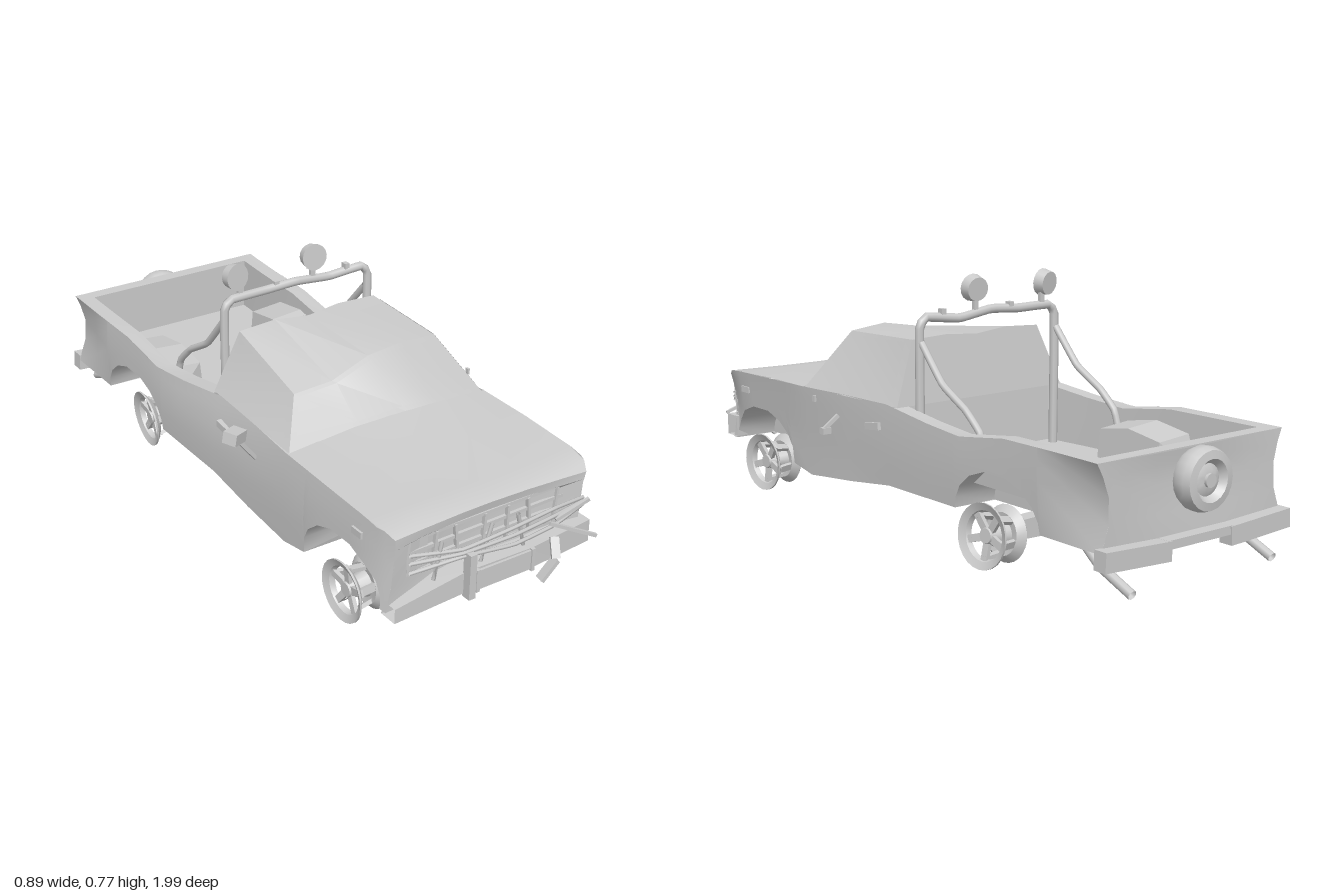
import * as THREE from 'three';
import { toCreasedNormals } from 'three/addons/utils/BufferGeometryUtils.js';

const mat = new THREE.MeshStandardMaterial({ color: 0xcccccc, side: THREE.DoubleSide });
const V = (p) => new THREE.Vector3(...p);

// linear interpolation in a [z, value] table sorted by falling z
function at(table, z) {
  for (let i = 1; i < table.length; i++) {
    const [a, va] = table[i - 1], [b, vb] = table[i];
    if (z >= b) return va + (vb - va) * Math.max(0, (a - z) / (a - b));
  }
  return table[table.length - 1][1];
}
const FRONT = 0.9, REAR = -0.935;
const TOP = [[0.92, 0.355], [0.87, 0.385], [0.8, 0.393], [0.4, 0.4], [0, 0.4], [-0.2, 0.375], [-0.35, 0.362], [-0.55, 0.39], [REAR, 0.393]];
const LEFT_TOP = [[0.92, 0.355], [0.85, 0.378], [0.4, 0.383], [0.2, 0.36], [0, 0.35], [-0.4, 0.35], [-0.8, 0.36], [REAR, 0.372]];
const LEFT_LOW = [[0.92, 0.345], [0.4, 0.355], [0.2, 0.34], [REAR, 0.35]];
const RIGHT_TOP = [[0.92, -0.305], [0.85, -0.333], [0.4, -0.33], [0.2, -0.315], [0, -0.305], [-0.4, -0.335], [REAR, -0.34]];
const DENT = [[0.9, 0.025], [0.8, 0], [-0.7, 0], [REAR, 0.04]];
const SILL = [[0.51, 0.13], [0.4, 0.11], [0.2, 0.125], [0, 0.15], [REAR, 0.15]];
const ARCHES = [0.69, -0.51];
const U = [1, 0.97, 0.85, 0.6, 0.25, -0.25, -0.6, -0.85, -0.97, -1];
const AR = 0.185, AH = 0.135;

function bottom(z) {
  for (const c of ARCHES) {
    const u = Math.min(1, Math.abs((z - c) / AR));
    if (u < 0.999) return 0.15 + AH * Math.sqrt(1 - u * u);
  }
  return z > 0.52 ? 0.15 : at(SILL, z);
}
const top = (z) => at(TOP, z);
function sideX(s, z, y) {
  const f = Math.min(1, Math.max(0, (y - 0.15) / 0.25));
  const a = s > 0 ? at(LEFT_LOW, z) : -0.338, b = at(s > 0 ? LEFT_TOP : RIGHT_TOP, z);
  return a + (b - a) * f * f + s * (0.006 - at(DENT, z)) * Math.sin(f * Math.PI);
}

export function createModel() {
  const model = new THREE.Group();
  const add = (name, geo, pos = [0, 0, 0], rot = [0, 0, 0], parent = model) => {
    const m = new THREE.Mesh(geo, mat);
    m.name = name;
    m.position.set(...pos);
    m.rotation.set(...rot);
    parent.add(m);
    return m;
  };
  const box = (name, size, pos, rot, parent) => add(name, new THREE.BoxGeometry(...size), pos, rot, parent);
  const tube = (name, pts, r, sides = 8, n = 24) =>
    add(name, new THREE.TubeGeometry(new THREE.CatmullRomCurve3(pts.map(V), false, 'catmullrom', 0.15), n, r, sides));
  // square-ended straight bar between two points
  const bar = (name, a, b, w, d = w) => {
    const A = V(a), B = V(b), m = box(name, [w, d, A.distanceTo(B)], A.clone().lerp(B, 0.5).toArray());
    m.lookAt(B);
  };
  // sheet through equal-length rows of points
  const sheet = (name, rows, crease = 0.5) => {
    const n = rows[0].length, idx = [];
    for (let i = 0; i < rows.length - 1; i++) for (let j = 0; j < n - 1; j++) {
      const a = i * n + j;
      idx.push(a, a + n, a + 1, a + 1, a + n, a + n + 1);
    }
    const g = new THREE.BufferGeometry();
    g.setAttribute('position', new THREE.Float32BufferAttribute(rows.flat(2), 3));
    g.setIndex(idx);
    return add(name, toCreasedNormals(g, crease));
  };
  const lathe = (pts, n) => toCreasedNormals(new THREE.LatheGeometry(pts.map((p) => new THREE.Vector2(...p)), n), 0.6);

  // body sides with wheel arches
  const archZ = ARCHES.map((c) => U.map((u) => c + u * AR));
  const stations = [FRONT, ...archZ[0], 0.4, 0.2, 0, -0.2, ...archZ[1], -0.8, REAR];
  for (const s of [1, -1]) {
    sheet('bodySide', stations.map((z) => [0, 0.3, 0.6, 0.85, 1].map((f) => {
      const y = bottom(z) + (top(z) - bottom(z)) * f;
      return [sideX(s, z, y), y, z];
    })));
    for (const zs of archZ) sheet('wheelArchLiner', zs.map((z) => {
      const y = bottom(z);
      return [[sideX(s, z, y), y, z], [0.2 * s, y, z], [0.2 * s, 0.15, z]];
    }));
  }
  sheet('underbody', stations.map((z) => [-1, 1].map((s) => {
    const b = bottom(z), inArch = b > 0.16;
    return [inArch ? 0.2 * s : sideX(s, z, b), inArch ? 0.15 : b, z];
  })));

  // dented hood, recessed nose and tailgate
  const T = [0, 0.15, 0.35, 0.5, 0.7, 0.88, 1];
  const across = (z, y, dy, dz = 0) => T.map((t) => {
    const l = sideX(-1, z, y), r = sideX(1, z, y), k = Math.sin(Math.PI * t);
    return [l + (r - l) * t, y + dy * k, z + dz * k];
  });
  const lip = across(FRONT, top(FRONT), 0.005, -0.01);
  sheet('hood', [across(0.4, 0.4, 0.022), across(0.6, 0.4, -0.006), across(0.8, 0.393, -0.008),
    across(0.87, 0.385, -0.006, 0), lip], 0.7);
  sheet('nose', [lip, across(FRONT, 0.345, 0, -0.015), across(FRONT, 0.335, 0, -0.035),
    across(FRONT, 0.22, 0, -0.035), across(FRONT, 0.15, 0, -0.02)]);
  sheet('tailgate', [across(REAR, 0.393, -0.008, 0.01), across(REAR, 0.35, 0, 0.015), across(REAR, 0.3, 0, 0.02),
    across(REAR, 0.22, 0, 0.01), across(REAR, 0.15, 0, 0.005)]);

  // load bed: front wall, floor, walls and rails
  const bedRow = (z, floorY, rim = top(z)) => {
    const l = sideX(-1, z, rim), r = sideX(1, z, rim);
    return [[l, rim, z], [l + 0.05, rim, z], [l + 0.055, floorY, z], [r - 0.055, floorY, z], [r - 0.05, rim, z], [r, rim, z]];
  };
  sheet('loadBed', [bedRow(-0.04, 0.4), ...[-0.05, -0.2, -0.35, -0.55, -0.75, -0.89].map((z) => bedRow(z, 0.22)),
    bedRow(-0.89, 0.393), bedRow(REAR, 0.393)], 0.3);
  for (const [s, x0, x1] of [[1, 0.31, 0.19], [-1, -0.29, -0.165]]) {
    const row = (z, inX, y) => [[x0, y, z], [inX, y - 0.01, z], [inX - s * 0.01, 0.22, z]];
    const end = (z) => [[x0, 0.22, z], [x0, 0.22, z], [x0, 0.22, z]];
    sheet('bedWheelHousing', [end(-0.34), row(-0.38, x1, 0.33), row(-0.5, x1, 0.35), row(-0.63, x1, 0.33), end(-0.67)], 0.3);
  }

  // cab, with the roof crushed on its right front corner
  const base = [[-0.325, 0.4, 0.41], [-0.1, 0.42, 0.41], [0.08, 0.42, 0.41], [0.2, 0.412, 0.41], [0.375, 0.398, 0.4]];
  const brow = [[-0.225, 0.505, 0.28], [-0.1, 0.518, 0.29], [0.02, 0.572, 0.3], [0.13, 0.59, 0.31], [0.262, 0.578, 0.3]];
  const roofBack = [[-0.225, 0.588, -0.02], [-0.1, 0.595, -0.02], [0.02, 0.582, -0.015], [0.13, 0.593, -0.02], [0.265, 0.588, -0.02]];
  const backBase = [[-0.3, 0.395, -0.05], [-0.15, 0.395, -0.05], [0.02, 0.395, -0.05], [0.18, 0.395, -0.05], [0.345, 0.395, -0.05]];
  sheet('cab', [base, brow, roofBack, backBase], 0.35);
  for (const i of [0, 4]) sheet('cabSide', [[base[i], brow[i]], [backBase[i], roofBack[i]]]);
  // panes: corners pulled to the centre and lifted off the panel
  const pane = (name, c, k, off) => {
    const mid = c.reduce((m, p) => m.add(V(p)), new THREE.Vector3()).divideScalar(4);
    const q = c.map((p) => V(p).lerp(mid, k).add(V(off)).toArray());
    sheet(name, [[q[0], q[1]], [q[3], q[2]]]);
  };
  pane('leftWindow', [base[4], brow[4], roofBack[4], backBase[4]], 0.12, [0.006, 0.003, 0]);
  pane('rightWindow', [base[0], brow[0], roofBack[0], backBase[0]], 0.12, [-0.006, 0.003, 0]);
  pane('rearWindow', [backBase[0], roofBack[0], roofBack[4], backBase[4]], 0.12, [0, 0, -0.008]);
  const inset = (f) => base.map((p, i) => {
    const q = V(p).lerp(V(brow[i]), f);
    return [0.025 + (q.x - 0.025) * 0.94, q.y + 0.004, q.z + 0.004];
  });
  sheet('windshield', [inset(0.08), inset(0.92)], 0.4);

  // wheels: bare open rims, two thin flanges joined by a hub and slanted struts
  const outerRing = lathe([[0.066, 0.024], [0.072, 0.04], [0.086, 0.046], [0.094, 0.05], [0.094, 0.044], [0.084, 0.036], [0.066, 0.024]], 24);
  const innerRing = lathe([[0.04, -0.03], [0.06, -0.036], [0.08, -0.05], [0.083, -0.046], [0.062, -0.026], [0.04, -0.03]], 24);
  const wheel = (name, s, pos, tilt) => {
    const g = new THREE.Group();
    g.name = name;
    add('outerRing', outerRing, [0, 0, 0], [0, 0, 0], g);
    add('innerRing', innerRing, [0, 0, 0], [0, 0, 0], g);
    add('hub', new THREE.CylinderGeometry(0.022, 0.042, 0.07, 12), [0, 0, 0], [0, 0, 0], g);
    for (let i = 0; i < 5; i++) {
      const spoke = new THREE.Group();
      spoke.rotation.y = i * Math.PI * 0.4;
      box('spoke', [0.055, 0.012, 0.022], [0.046, 0.026, 0], [0, 0, 0.12], spoke);
      box('strut', [0.012, 0.07, 0.022], [0.058, -0.002, 0], [0, 0, -0.15], spoke);
      g.add(spoke);
    }
    g.rotation.set(0, tilt[0], -s * Math.PI / 2 + tilt[1]);
    g.position.set(...pos);
    model.add(g);
  };
  wheel('frontLeftWheel', 1, [0.315, 0.1, 0.69], [0.06, 0]);
  wheel('frontRightWheel', -1, [-0.287, 0.1, 0.69], [0, 0]);
  wheel('rearLeftWheel', 1, [0.345, 0.108, -0.5], [0.08, 0.1]);
  wheel('rearRightWheel', -1, [-0.26, 0.103, -0.5], [-0.08, 0.08]);

  // axle beams
  for (const z of [0.69, -0.5]) {
    const sh = new THREE.Shape([[-0.24, 0.14], [-0.24, 0.085], [-0.1, 0.08], [0.02, 0.062], [0.13, 0.082], [0.28, 0.085], [0.28, 0.14], [0.02, 0.15]]
      .map((p) => new THREE.Vector2(...p)));
    add('axleBeam', new THREE.ExtrudeGeometry(sh, { depth: 0.05, bevelEnabled: false }), [0, 0, z - 0.025]);
  }

  // bent front bumper with plate and overriders
  const bump = [[-0.325, 0.125, 0.17, 0.925], [-0.1, 0.155, 0.222, 0.945], [0.12, 0.155, 0.222, 0.95], [0.35, 0.155, 0.225, 0.93]];
  sheet('frontBumper', bump.map(([x, a, b, z]) => [[x, a, z - 0.06], [x, a, z], [x, b, z], [x, b, z - 0.06], [x, a, z - 0.06]]), 0.3);
  box('frontPlate', [0.19, 0.06, 0.008], [0.025, 0.19, 0.955]);
  for (const x of [-0.075, 0.118]) box('plateBracket', [0.012, 0.07, 0.012], [x, 0.19, 0.957]);
  box('overrider', [0.022, 0.14, 0.03], [-0.1, 0.215, 0.955]);
  bar('bentOverrider', [0.2, 0.23, 0.95], [0.185, 0.18, 0.98], 0.025, 0.012);
  bar('bentOverrider', [0.185, 0.18, 0.98], [0.14, 0.122, 0.97], 0.03, 0.012);

  // grille and crushed bull bar
  for (const [y0, y1] of [[0.235, 0.232], [0.265, 0.275], [0.3, 0.31], [0.34, 0.345]])
    bar('grilleRail', [-0.28, y0, 0.885], [0.34, y1, 0.885], 0.01);
  for (let i = 0; i < 8; i++) {
    const x = -0.26 + i * 0.084;
    bar('grilleSlat', [x, 0.235, 0.888], [x + 0.012 * Math.sin(i * 2.3), 0.342, 0.888], 0.012, 0.008);
  }
  for (const x of [-0.235, 0.295]) box('headlight', [0.085, 0.085, 0.02], [x, 0.29, 0.875]);
  for (const [y, dy] of [[0.285, 0], [0.31, -0.012], [0.255, 0.02]])
    tube('bullBar', [[-0.27, y, 0.91], [-0.12, y + dy, 0.945], [0.05, y + 0.005, 0.955], [0.2, y + 0.01, 0.945], [0.33, y + dy, 0.915]], 0.006, 6);
  for (const [x, lean] of [[-0.2, 0.02], [-0.04, 0.03], [0.11, -0.03]])
    tube('bullBarUpright', [[x, 0.22, 0.925], [x + lean, 0.335, 0.93]], 0.006, 6, 2);
  bar('looseBar', [0.18, 0.28, 0.95], [0.32, 0.215, 0.99], 0.01);
  bar('looseBar', [0.2, 0.285, 0.95], [0.3, 0.33, 0.97], 0.01);

  // roll bar, braces and spotlights
  tube('rollBar', [[-0.235, 0.22, -0.09], [-0.237, 0.5, -0.09], [-0.235, 0.635, -0.09], [-0.21, 0.662, -0.09], [-0.08, 0.662, -0.095],
    [0.02, 0.668, -0.09], [0.15, 0.652, -0.1], [0.265, 0.664, -0.09], [0.29, 0.635, -0.09], [0.29, 0.5, -0.09], [0.29, 0.22, -0.09]], 0.014, 8, 64);
  for (const x of [-0.235, 0.29])
    tube('rollBarBrace', [[x, 0.59, -0.1], [x, 0.48, -0.2], [x - 0.005, 0.42, -0.3], [x - 0.01, 0.36, -0.36], [x - 0.01, 0.23, -0.4]], 0.011);
  for (const [x, y, turn] of [[-0.195, 0.732, -0.2], [0.085, 0.735, 0.08]]) {
    add('spotlight', new THREE.CylinderGeometry(0.042, 0.036, 0.032, 16), [x, y, -0.095], [Math.PI / 2 - 0.1, 0, turn]);
    box('spotlightFoot', [0.016, 0.05, 0.012], [x + (x < 0 ? 0.018 : 0), 0.685, -0.095]);
  }
  for (const x of [-0.05, 0.21]) box('lampClip', [0.016, 0.02, 0.02], [x, 0.675, -0.095]);

  // mirrors, door handles and markers
  box('rightMirror', [0.06, 0.036, 0.045], [-0.408, 0.408, 0.25], [0.1, 0.5, -0.2]);
  bar('rightMirrorArm', [-0.395, 0.388, 0.25], [-0.325, 0.3, 0.24], 0.012);
  bar('brokenMirrorArm', [0.36, 0.33, 0.24], [0.405, 0.29, 0.25], 0.012);
  box('brokenMirrorFoot', [0.03, 0.02, 0.02], [0.4, 0.285, 0.25]);
  box('mirrorShard', [0.007, 0.02, 0.012], [0.436, 0.39, 0.255]);
  for (const s of [1, -1]) {
    box('doorHandle', [0.022, 0.022, 0.07], [sideX(s, 0.06, 0.325), 0.325, 0.06], [0.12, 0, 0]);
    box('sideMarker', [0.012, 0.02, 0.045], [sideX(s, 0.77, 0.335), 0.335, 0.77]);
  }

  // spare wheel, rear bumper and exhaust pipes
  add('spareWheel', lathe([[0, -0.022], [0.03, -0.022], [0.045, -0.015], [0.06, -0.034], [0.083, -0.03],
    [0.09, -0.01], [0.09, 0.015], [0.08, 0.034], [0, 0.034]], 20), [0.01, 0.305, -0.965], [Math.PI / 2, 0, 0]);
  add('spareHub', new THREE.CylinderGeometry(0.02, 0.02, 0.02, 10), [0.01, 0.305, -0.985], [Math.PI / 2, 0, 0]);
  for (const s of [1, -1]) {
    box('rearBumper', [0.24, 0.055, 0.045], [0.015 + s * 0.235, 0.135, -0.952], [0, 0, s * 0.05]);
    tube('exhaustPipe', [[0.02 + s * 0.25, 0.14, -0.78], [0.02 + s * 0.27, 0.095, -0.87], [0.02 + s * 0.27, 0.045, -0.99]], 0.014, 8, 10);
  }
  box('rearStep', [0.25, 0.025, 0.04], [0.015, 0.145, -0.95]);
  return model;
}
